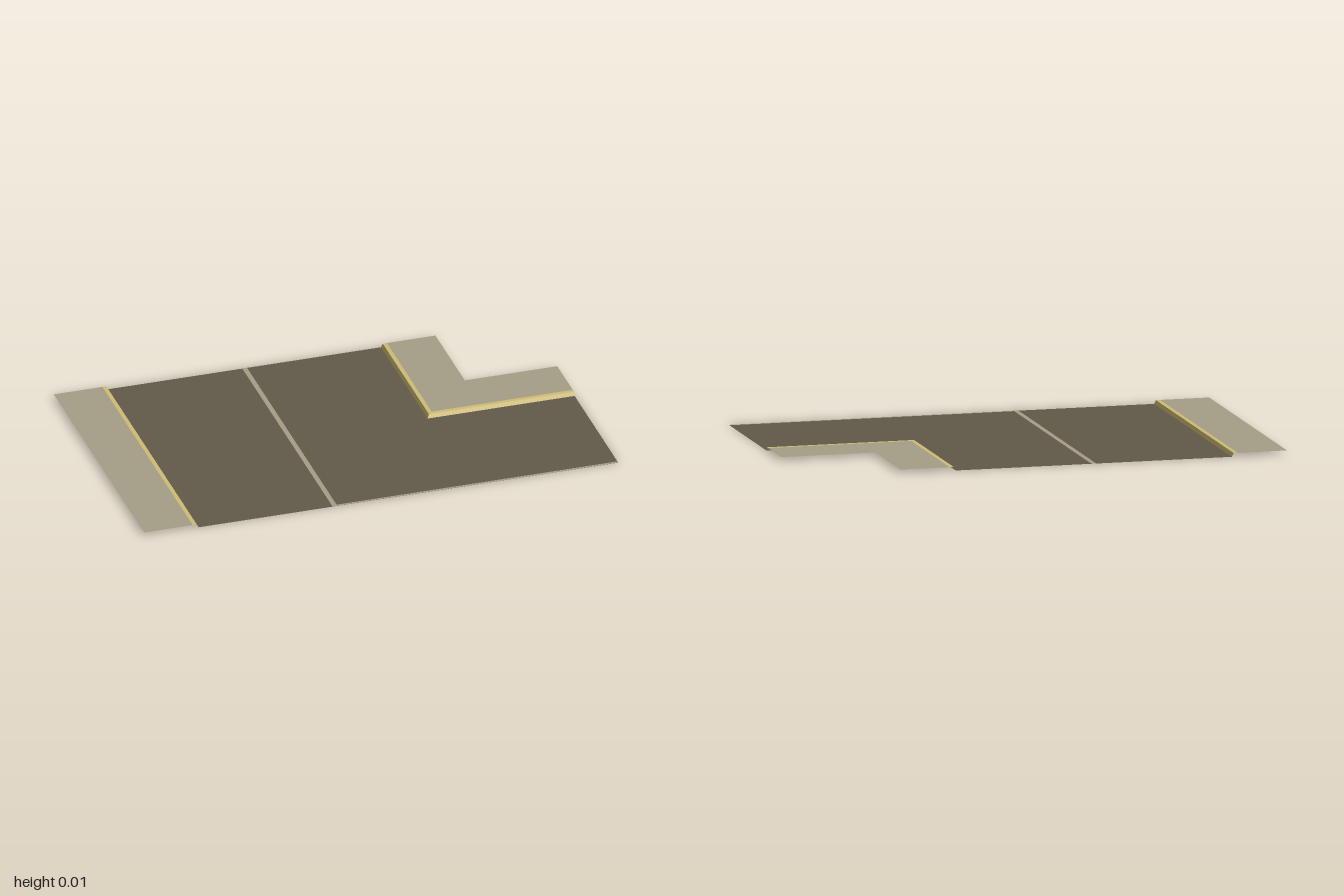
import * as THREE from 'three';

const HEIGHT = 0.015; // pavement height above the road
const BACK = 0.6; // half depth of the tile

function material(name, color) {
  const m = new THREE.MeshStandardMaterial({ color, side: THREE.DoubleSide });
  m.name = name;
  return m;
}

// Flat sheet facing up, outlined by [x, z] points
function sheet(name, points, y, mat) {
  const shape = new THREE.Shape(points.map(([x, z]) => new THREE.Vector2(x, -z)));
  const geometry = new THREE.ShapeGeometry(shape).rotateX(-Math.PI / 2).translate(0, y, 0);
  const mesh = new THREE.Mesh(geometry, mat);
  mesh.name = name;
  return mesh;
}

function rectangle(x0, x1, z0, z1) {
  return [[x0, z0], [x1, z0], [x1, z1], [x0, z1]];
}

// Open curb strip: each path entry is [x, z, inward x, inward z]
function curb(name, path, mat) {
  const profile = [[0, 0], [0.008, HEIGHT], [0.025, HEIGHT]];
  const at = ([x, z, dx, dz], [d, y]) => [x + dx * d, y, z + dz * d];
  const positions = [];
  for (let i = 0; i < path.length - 1; i++) {
    for (let j = 0; j < profile.length - 1; j++) {
      const a = at(path[i], profile[j]);
      const b = at(path[i + 1], profile[j]);
      const c = at(path[i + 1], profile[j + 1]);
      const d = at(path[i], profile[j + 1]);
      positions.push(...a, ...b, ...c, ...a, ...c, ...d);
    }
  }
  const geometry = new THREE.BufferGeometry();
  geometry.setAttribute('position', new THREE.Float32BufferAttribute(positions, 3));
  geometry.computeVertexNormals();
  const mesh = new THREE.Mesh(geometry, mat);
  mesh.name = name;
  return mesh;
}

export function createModel() {
  const asphalt = material('asphalt', 0x625a4a);
  const concrete = material('concrete', 0xa69e86);
  const yellow = material('curbYellow', 0xd0bd74);
  const model = new THREE.Group();
  model.name = 'roadJunction';

  // Road surface, cut out around the corner pavement
  model.add(sheet('road', [
    [-0.77, -BACK], [0.38, -BACK], [0.38, 0.02], [1, 0.02], [1, BACK], [-0.77, BACK],
  ], 0, asphalt));

  // Painted lines
  model.add(
    sheet('centreLine', rectangle(-0.205, -0.185, -BACK, BACK), 0.0006, concrete),
    sheet('sideRoadLine', rectangle(-0.185, 1, 0.59, BACK), 0.0006, concrete),
  );

  // Raised pavements
  model.add(
    sheet('straightPavement', rectangle(-1, -0.795, -BACK, BACK), HEIGHT, concrete),
    sheet('cornerPavement', [
      [0.405, -BACK], [0.61, -BACK], [0.61, -0.21], [1, -0.21], [1, -0.005], [0.405, -0.005],
    ], HEIGHT, concrete),
  );

  // Curbs along the pavement edges, mitred at the corner
  model.add(
    curb('straightCurb', [[-0.77, BACK, -1, 0], [-0.77, -BACK, -1, 0]], yellow),
    curb('cornerCurb', [[0.38, -BACK, 1, 0], [0.38, 0.02, 1, -1], [1, 0.02, 0, -1]], yellow),
  );
  return model;
}
